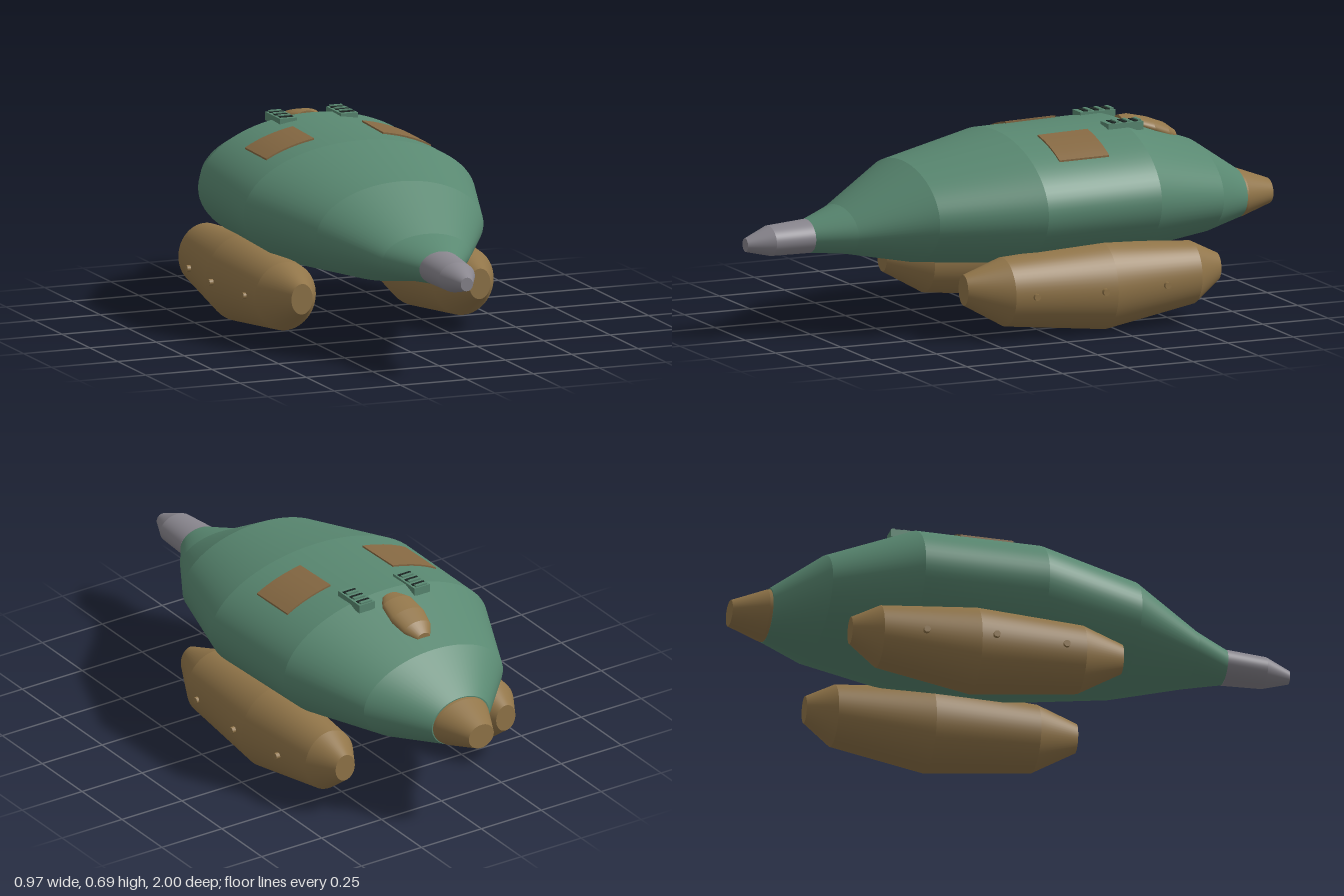
import * as THREE from 'three';

const mat = (name, color) => {
  const m = new THREE.MeshStandardMaterial({ color });
  m.name = name;
  return m;
};

// Skin of elliptical rings [z, centreY, halfWidth, halfHeight] from front to back.
// Each band is smooth around its girth and creased at its rings; ends are capped.
function loft(rings, sides = 56) {
  const pos = [], idx = [];
  const addRing = ([z, cy, w, h]) => {
    const start = pos.length / 3;
    for (let j = 0; j < sides; j++) {
      const a = (j / sides) * Math.PI * 2;
      pos.push(w * Math.cos(a), cy + h * Math.sin(a), z);
    }
    return start;
  };
  for (let i = 0; i < rings.length - 1; i++) {
    const f = addRing(rings[i]), b = addRing(rings[i + 1]);
    for (let j = 0; j < sides; j++) {
      const k = (j + 1) % sides;
      idx.push(f + j, b + j, f + k, f + k, b + j, b + k);
    }
  }
  for (const front of [true, false]) {
    const ring = front ? rings[0] : rings[rings.length - 1];
    const s = addRing(ring), c = pos.length / 3;
    pos.push(0, ring[1], ring[0]);
    for (let j = 0; j < sides; j++) {
      const k = (j + 1) % sides;
      if (front) idx.push(c, s + j, s + k);
      else idx.push(c, s + k, s + j);
    }
  }
  const g = new THREE.BufferGeometry();
  g.setAttribute('position', new THREE.Float32BufferAttribute(pos, 3));
  g.setIndex(idx);
  g.computeVertexNormals();
  return g;
}

export function createModel() {
  const green = mat('hull green', 0x598871);
  const brown = mat('pod brown', 0x917549);
  const patch = mat('panel brown', 0x866943);
  const grey = mat('nose grey', 0x89868e);
  const dark = mat('slot dark', 0x1b2422);

  const model = new THREE.Group();
  model.name = 'airship';
  const add = (parent, name, geometry, material, x = 0, y = 0, z = 0) => {
    const m = new THREE.Mesh(geometry, material);
    m.name = name;
    m.position.set(x, y, z);
    parent.add(m);
    return m;
  };

  // Main body, nose and tail
  add(model, 'hull', loft([
    [0.765, 0.353, 0.08, 0.058], [0.64, 0.367, 0.165, 0.083], [0.4, 0.414, 0.315, 0.176],
    [0.04, 0.438, 0.437, 0.228], [-0.4, 0.447, 0.424, 0.233], [-0.7, 0.413, 0.29, 0.162],
    [-0.87, 0.372, 0.12, 0.089],
  ], 72), green);
  add(model, 'nose', loft([
    [1, 0.34, 0.023, 0.024], [0.91, 0.348, 0.068, 0.053], [0.765, 0.353, 0.08, 0.059],
  ]), grey);
  add(model, 'tail', loft([
    [-0.85, 0.372, 0.121, 0.09], [-0.88, 0.37, 0.112, 0.086], [-1, 0.366, 0.052, 0.045],
  ]), brown);

  // Raised fairing on the back
  add(model, 'dorsalFairing', loft([
    [-0.43, 0.664, 0.035, 0.016], [-0.47, 0.657, 0.06, 0.024], [-0.54, 0.634, 0.068, 0.031],
    [-0.6, 0.611, 0.055, 0.031], [-0.64, 0.595, 0.026, 0.018],
  ], 24), brown);

  // Height of the hull's upper surface amidships
  const hullTop = (x, z) => {
    const t = (0.04 - z) / 0.44;
    const w = 0.437 - 0.013 * t, h = 0.228 + 0.005 * t;
    return 0.438 + 0.009 * t + h * Math.sqrt(1 - (x / w) ** 2);
  };

  for (const s of [1, -1]) {
    const side = s > 0 ? 'left' : 'right';

    // Hanging pod
    const pod = new THREE.Group();
    pod.name = side + 'Pod';
    pod.position.x = s * 0.335;
    model.add(pod);
    add(pod, 'podBody', loft([
      [0.32, 0.183, 0.04, 0.054], [0.17, 0.165, 0.115, 0.121], [-0.21, 0.157, 0.14, 0.154],
      [-0.55, 0.175, 0.1, 0.111], [-0.65, 0.187, 0.04, 0.049],
    ]), brown);
    // Rivets along the outer flank
    for (const [z, x] of [[0.095, 0.118], [-0.16, 0.138], [-0.405, 0.118]]) {
      const rivet = add(pod, 'rivet', new THREE.CylinderGeometry(0.012, 0.012, 0.025, 12),
        brown, s * x, 0.162, z);
      rivet.rotation.z = Math.PI / 2;
    }

    // Roof panel bent to the hull's curve
    const g = new THREE.BoxGeometry(0.18, 0.012, 0.19, 8, 1, 4);
    const p = g.attributes.position;
    for (let i = 0; i < p.count; i++) {
      const x = p.getX(i) + s * 0.22, z = p.getZ(i) - 0.155;
      p.setXYZ(i, x, hullTop(x, z) + p.getY(i), z);
    }
    g.computeVertexNormals();
    add(model, side + 'RoofPanel', g, patch);

    // Louvred vent: base, dark slots and raised slats
    const vent = new THREE.Group();
    vent.name = side + 'Vent';
    vent.position.set(s * 0.115, 0, -0.39);
    model.add(vent);
    add(vent, 'ventBase', new THREE.BoxGeometry(0.064, 0.03, 0.134), green, 0, 0.668, 0);
    for (let i = 0; i < 3; i++) {
      const z = (i - 1) * 0.042;
      add(vent, 'ventSlot', new THREE.BoxGeometry(0.05, 0.004, 0.014), dark, 0, 0.684, z);
      add(vent, 'ventSlat', new THREE.BoxGeometry(0.046, 0.008, 0.012), green, 0, 0.685, z - 0.015);
    }
  }
  return model;
}
